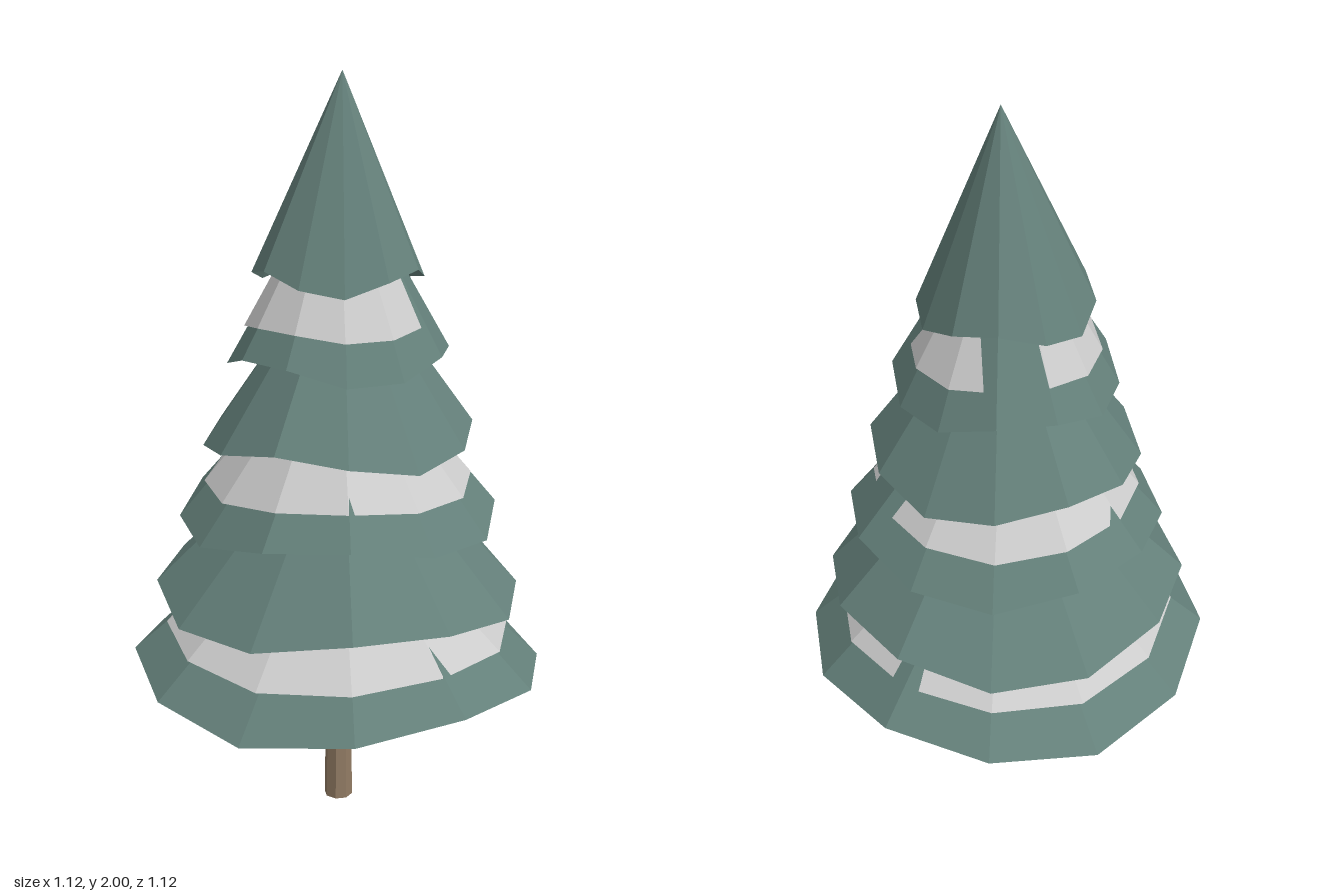
import * as THREE from 'three';

const TIERS = 6, SIDES = 12, HEIGHT = 0.505, WAVE = 0.028, LEAN = 0.012;

const paint = (color) => new THREE.MeshStandardMaterial({ color, flatShading: true, side: THREE.DoubleSide });
const needles = paint(0x64807a);
const snow = paint(0xe8e8e8);
const bark = paint(0x927c64);
const twig = paint(0x5e4a3a);

// Open cone whose rim rises and falls three times round the tree.
function wavyCone(radius, height, rimY, wave, phase, lean) {
  const geometry = new THREE.ConeGeometry(radius, height, SIDES, 1, true);
  geometry.translate(0, rimY + height / 2, 0);
  const p = geometry.attributes.position;
  for (let i = 0; i < p.count; i++) {
    if (p.getY(i) > rimY + height / 2) {
      p.setX(i, lean);
    } else {
      const angle = Math.atan2(p.getZ(i), p.getX(i));
      p.setY(i, rimY + wave * Math.cos(3 * angle + phase));
    }
  }
  geometry.computeVertexNormals();
  return geometry;
}

function add(parent, name, geometry, material) {
  const mesh = new THREE.Mesh(geometry, material);
  mesh.name = name;
  parent.add(mesh);
  return mesh;
}

// Thin stick between two points.
function addBranch(parent, from, to) {
  const dir = to.clone().sub(from);
  const mesh = add(parent, 'branch', new THREE.CylinderGeometry(0.003, 0.006, dir.length(), 5), twig);
  mesh.position.copy(from).add(to).multiplyScalar(0.5);
  mesh.quaternion.setFromUnitVectors(new THREE.Vector3(0, 1, 0), dir.normalize());
}

export function createModel() {
  const tree = new THREE.Group();
  tree.name = 'snowyTree';

  // Tapered trunk running up inside the foliage
  add(tree, 'trunk', new THREE.CylinderGeometry(0.012, 0.04, 1.7, 8).translate(0, 0.85, 0), bark);

  for (let i = 0; i < TIERS; i++) {
    const radius = 0.56 - 0.0675 * i;
    const rimY = 0.442 + 0.2106 * i;
    const phase = Math.PI / 2 - i;
    const tier = new THREE.Group();
    tier.name = 'tier' + (i + 1);
    tree.add(tier);

    add(tier, 'foliage', wavyCone(radius, HEIGHT, rimY, WAVE, phase, LEAN), needles);

    // Snow lies on every other tier and sinks under the highest waves
    if (i % 2 === 0) {
      const reach = 0.84;
      const lift = 0.003 + 0.0143 * radius;
      add(tier, 'snow', wavyCone(radius * reach, HEIGHT * reach,
        rimY + HEIGHT * (1 - reach) + lift, WAVE * reach * 0.5, phase, 0), snow);
    }

    // Bare branches under the foliage
    for (let k = 0; k < 5; k++) {
      const a = i * 0.9 + 0.3 + k * Math.PI * 2 / 5;
      const r = radius * (0.74 + 0.05 * (k % 3));
      addBranch(tier,
        new THREE.Vector3(0, rimY - 0.035, 0),
        new THREE.Vector3(Math.cos(a) * r, rimY + 0.015, Math.sin(a) * r));
    }
  }
  return tree;
}
